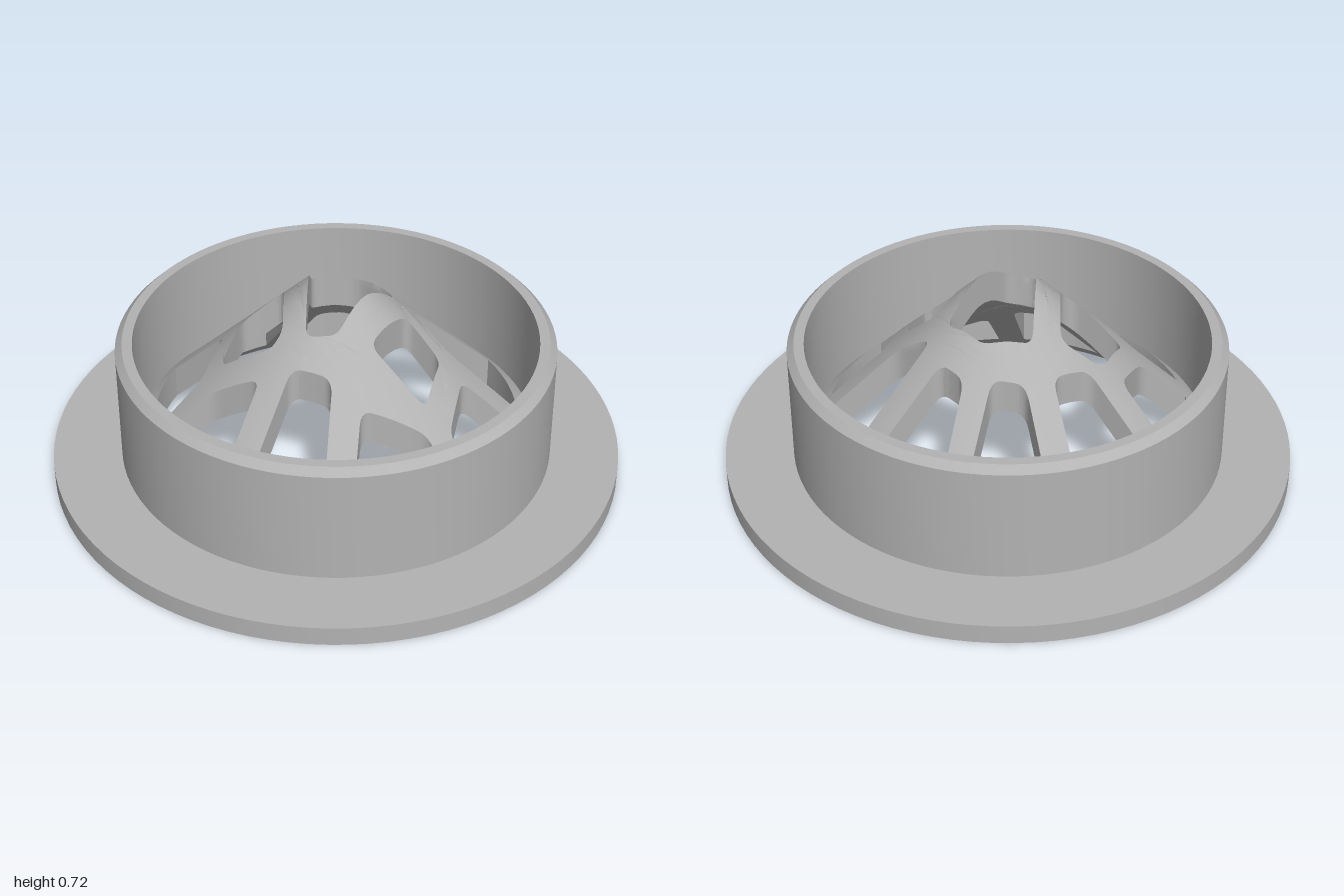
import * as THREE from 'three';
import { toCreasedNormals } from 'three/addons/utils/BufferGeometryUtils.js';

const SEGMENTS = 96;
const BORE = 0.70;      // inner radius of collar and flange
const RIM = 0.64;       // outer radius of the openings
const THICKNESS = 0.12; // vertical thickness of the cone

// Openings as [x, z] corners. In rim openings the first two corners are joined by an arc.
const rimOpenings = [
  [[-0.235, -0.595], [0.10, -0.63], [0.025, -0.30], [-0.085, -0.30]],
  [[0.20, -0.61], [0.465, -0.44], [0.28, -0.26], [0.125, -0.245]],
  [[0.525, -0.36], [0.64, -0.015], [0.50, -0.02], [0.385, -0.22]],
  [[0.635, 0.085], [0.465, 0.435], [0.305, 0.21], [0.47, 0.06]],
  [[0.395, 0.50], [0.13, 0.625], [0.055, 0.28], [0.19, 0.225]],
  [[0.035, 0.64], [-0.305, 0.56], [-0.215, 0.40], [-0.035, 0.34]],
  [[-0.39, 0.505], [-0.595, 0.20], [-0.38, 0.165], [-0.31, 0.35]],
  [[-0.635, 0.095], [-0.59, -0.25], [-0.295, -0.09], [-0.33, 0.05]],
  [[-0.54, -0.34], [-0.31, -0.56], [-0.165, -0.25], [-0.255, -0.18]],
];
const innerOpenings = [
  [[-0.20, -0.09], [-0.08, -0.205], [0.09, -0.205], [0.13, 0.14], [0.045, 0.20]],
  [[0.18, -0.16], [0.32, -0.18], [0.415, 0.01], [0.215, 0.065]],
  [[-0.335, 0.115], [-0.235, 0.01], [-0.05, 0.21], [-0.06, 0.265], [-0.25, 0.315]],
];

// Rounded corner as a few points between its two neighbours
function roundCorner(prev, corner, next, radius = 0.035) {
  const towards = (p) => {
    const d = p.clone().sub(corner);
    return corner.clone().addScaledVector(d.normalize(), Math.min(radius, corner.distanceTo(p) * 0.4));
  };
  return new THREE.QuadraticBezierCurve(towards(prev), corner, towards(next)).getPoints(5);
}

function openingPath(corners, onRim) {
  const c = corners.map(([x, z]) => new THREE.Vector2(x, -z));
  const points = [];
  if (onRim) {
    const start = Math.atan2(c[0].y, c[0].x);
    let sweep = Math.atan2(c[1].y, c[1].x) - start;
    if (sweep > Math.PI) sweep -= 2 * Math.PI;
    if (sweep < -Math.PI) sweep += 2 * Math.PI;
    for (let i = 0; i <= 10; i++) {
      const a = start + (sweep * i) / 10;
      points.push(new THREE.Vector2(RIM * Math.cos(a), RIM * Math.sin(a)));
    }
  }
  for (let i = onRim ? 2 : 0; i < c.length; i++) {
    points.push(...roundCorner(c[(i + c.length - 1) % c.length], c[i], c[(i + 1) % c.length]));
  }
  return new THREE.Path(points);
}

// Bisects every edge longer than the limit so the plate can bend into a cone
function subdivide(geometry, limit) {
  const pos = geometry.attributes.position;
  const v = (i) => new THREE.Vector3().fromBufferAttribute(pos, i);
  const out = [];
  const split = (a, b, c) => {
    const ab = a.distanceTo(b), bc = b.distanceTo(c), ca = c.distanceTo(a);
    const longest = Math.max(ab, bc, ca);
    if (longest <= limit) {
      for (const p of [a, b, c]) out.push(p.x, p.y, p.z);
    } else if (longest === ab) {
      const m = a.clone().add(b).multiplyScalar(0.5);
      split(a, m, c);
      split(m, b, c);
    } else if (longest === bc) {
      split(b, c, a);
    } else {
      split(c, a, b);
    }
  };
  for (let i = 0; i < pos.count; i += 3) split(v(i), v(i + 1), v(i + 2));
  const result = new THREE.BufferGeometry();
  result.setAttribute('position', new THREE.Float32BufferAttribute(out, 3));
  return result;
}

// Flat perforated plate raised into a 45 degree cone with vertical cuts
function coneGeometry() {
  const outline = [];
  for (let i = 0; i < SEGMENTS; i++) {
    const a = (i / SEGMENTS) * Math.PI * 2;
    outline.push(new THREE.Vector2(BORE * Math.cos(a), BORE * Math.sin(a)));
  }
  const plate = new THREE.Shape(outline);
  plate.holes = [
    ...rimOpenings.map((o) => openingPath(o, true)),
    ...innerOpenings.map((o) => openingPath(o, false)),
  ];
  let geometry = new THREE.ExtrudeGeometry(plate, { depth: THICKNESS, bevelEnabled: false });
  geometry.rotateX(-Math.PI / 2);
  geometry = subdivide(geometry.index ? geometry.toNonIndexed() : geometry, 0.05);
  const pos = geometry.attributes.position;
  for (let i = 0; i < pos.count; i++) {
    pos.setY(i, pos.getY(i) + BORE - Math.hypot(pos.getX(i), pos.getZ(i)));
  }
  return toCreasedNormals(geometry, 0.6);
}

function turned(profile) {
  const points = profile.map(([r, y]) => new THREE.Vector2(r, y));
  return toCreasedNormals(new THREE.LatheGeometry(points, SEGMENTS), 0.5);
}

export function createModel() {
  const grey = new THREE.MeshStandardMaterial({ color: 0xb3b3b3 });
  grey.name = 'grey';
  const group = new THREE.Group();
  group.name = 'drainStrainer';

  const add = (name, geometry) => {
    const mesh = new THREE.Mesh(geometry, grey);
    mesh.name = name;
    group.add(mesh);
  };

  // Flat flange at the foot
  add('flange', turned([[BORE, 0], [1, 0], [1, 0.07], [0.76, 0.07]]));
  // Upright collar with a chamfered top edge
  add('collar', turned([[0.76, 0.07], [0.76, 0.485], [0.735, 0.51], [BORE, 0.51], [BORE, 0]]));
  // Perforated cone inside the collar
  add('strainerCone', coneGeometry());
  return group;
}
